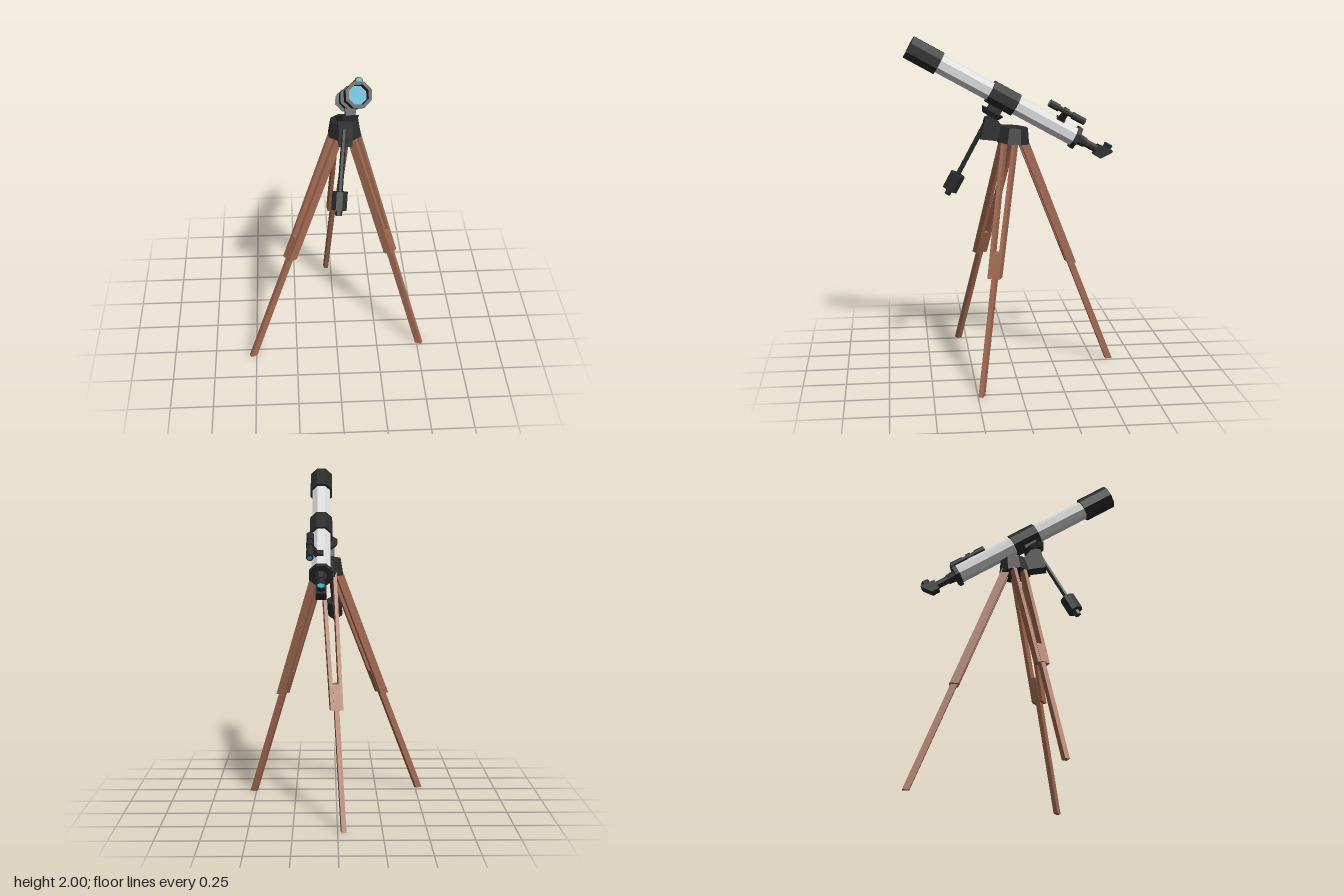
import * as THREE from 'three';

const mat = (name, color) => Object.assign(new THREE.MeshStandardMaterial({ color }), { name });

export function createModel() {
  const wood = mat('wood', 0xa26a52);
  const white = mat('tubeWhite', 0xd9d9d9);
  const black = mat('matteBlack', 0x2b2b2b);
  const glass = mat('lensBlue', 0x35a5c4);
  const model = new THREE.Group();
  model.name = 'tripodTelescope';

  // Faceted mesh with hard edges
  const add = (parent, name, geo, material, x = 0, y = 0, z = 0) => {
    const g = geo.index ? geo.toNonIndexed() : geo;
    g.computeVertexNormals();
    const m = new THREE.Mesh(g, material);
    m.name = name;
    m.position.set(x, y, z);
    parent.add(m);
    return m;
  };
  // Faceted drum along z, from z0 (radius r0) to z1 (radius r1)
  const drum = (z0, z1, r0, r1 = r0, sides = 8) =>
    new THREE.CylinderGeometry(r1, r0, z1 - z0, sides)
      .rotateY(Math.PI / sides).rotateX(Math.PI / 2).translate(0, 0, (z0 + z1) / 2);
  // Plate with a side profile of [z, y] points, extruded across x
  const sidePlate = (points, width) =>
    new THREE.ExtrudeGeometry(new THREE.Shape(points.map(p => new THREE.Vector2(...p))),
      { depth: width, bevelEnabled: false })
      .translate(0, 0, -width / 2).rotateY(-Math.PI / 2);

  // ---- Tripod ----
  const hub = new THREE.Vector3(0.055, 0, 0);
  const legTop = 1.41, topOffset = 0.05;
  const tips = { leftLeg: [0.515, 0.228], rightLeg: [-0.52, 0.3], backLeg: [-0.033, -0.605] };
  for (const [name, [tx, tz]] of Object.entries(tips)) {
    const leg = new THREE.Group();
    leg.name = name;
    leg.position.copy(hub);
    leg.rotation.y = Math.atan2(-(tz - hub.z), tx - hub.x);
    model.add(leg);
    const reach = Math.hypot(tx - hub.x, tz - hub.z);
    const radius = y => topOffset + (reach - topOffset) * (1 - y / legTop);
    // Bar sheared to follow the leg's slope, with level ends
    const bar = (part, y0, y1, depth, width, side0 = 0, side1 = 0) => {
      const g = new THREE.BoxGeometry(depth, y1 - y0, width).translate(0, (y0 + y1) / 2, 0);
      const p = g.attributes.position;
      for (let i = 0; i < p.count; i++) {
        const y = p.getY(i), t = (y - y0) / (y1 - y0);
        p.setX(i, p.getX(i) + radius(y));
        p.setZ(i, p.getZ(i) + side0 + (side1 - side0) * t);
      }
      add(leg, part, g, wood);
    };
    bar('lowerBar', 0, 0.7, 0.04, 0.027);
    bar('slideBlock', 0.645, 0.78, 0.058, 0.034);
    for (const s of [-1, 1]) bar('upperSlat', 0.64, legTop, 0.052, 0.021, s * 0.026, s * 0.034);
  }

  // Hub and tilting head
  const hubMesh = add(model, 'tripodHub',
    new THREE.CylinderGeometry(0.086, 0.102, 0.092, 8).rotateY(Math.PI / 8), black, hub.x, 1.428, 0);
  hubMesh.rotation.x = -0.09;
  add(model, 'headBracket',
    sidePlate([[0.04, 1.39], [0.195, 1.407], [0.165, 1.53], [0.115, 1.545], [0.07, 1.485], [0.04, 1.475]], 0.08),
    black, 0.05);

  // Pan handle with grip
  const handle = new THREE.Group();
  handle.name = 'panHandle';
  handle.position.set(0.045, 1.5, 0.16);
  handle.quaternion.setFromUnitVectors(new THREE.Vector3(0, 0, 1),
    new THREE.Vector3(-0.045, -0.43, 0.225).normalize());
  model.add(handle);
  add(handle, 'handleRod', drum(0, 0.37, 0.015, 0.015, 6), black);
  add(handle, 'handleGrip', drum(0.35, 0.455, 0.047), black);
  add(handle, 'handleTip', drum(0.455, 0.487, 0.02, 0.02, 6), black);

  // ---- Telescope, built along z and tilted up ----
  const scope = new THREE.Group();
  scope.name = 'telescope';
  scope.position.set(0.09, 1.646, 0.063);
  scope.rotation.x = -THREE.MathUtils.degToRad(29);
  model.add(scope);

  // Saddle below the collar
  add(scope, 'saddleDisc', new THREE.CylinderGeometry(0.074, 0.055, 0.03, 8).rotateY(Math.PI / 8),
    black, -0.03, -0.112, 0.012);
  add(scope, 'saddleNeck', new THREE.BoxGeometry(0.06, 0.06, 0.08), black, -0.01, -0.075, 0.01);

  // Main tube, collar and rear flange
  add(scope, 'mainTube', drum(-0.48, 0.43, 0.058), white);
  add(scope, 'collar', drum(-0.085, 0.085, 0.071), black);
  add(scope, 'rearFlange', drum(-0.497, -0.472, 0.072), black);

  // Hollow dew shield with recessed lens
  const hood = [[0.05, 0.418], [0.072, 0.418], [0.072, 0.612], [0.054, 0.612], [0.054, 0.44]]
    .map(p => new THREE.Vector2(...p));
  add(scope, 'dewShield',
    new THREE.LatheGeometry(hood, 8).rotateY(Math.PI / 8).rotateX(Math.PI / 2), black);
  add(scope, 'objectiveLens', drum(0.453, 0.46, 0.053), glass);

  // Focuser, diagonal and eyepiece
  add(scope, 'focuserBase', drum(-0.55, -0.49, 0.03, 0.036), black);
  add(scope, 'focuserTube', drum(-0.635, -0.54, 0.024), black);
  add(scope, 'diagonal',
    sidePlate([[0.041, -0.036], [0.041, 0.028], [-0.052, 0.036], [-0.05, 0.022], [-0.008, -0.038]], 0.06),
    black, 0, 0, -0.665);
  add(scope, 'eyepiece', new THREE.CylinderGeometry(0.028, 0.022, 0.034, 6), black, 0, 0.042, -0.679);
  add(scope, 'eyeLens', new THREE.CylinderGeometry(0.021, 0.021, 0.004, 6), glass, 0, 0.06, -0.679);

  // Finder scope
  const finder = new THREE.Group();
  finder.name = 'finderScope';
  finder.position.set(0.062, 0.107, -0.358);
  scope.add(finder);
  add(finder, 'finderTube', drum(-0.11, 0.1, 0.016), black);
  add(finder, 'finderFront', drum(0.055, 0.117, 0.023), black);
  add(finder, 'finderRear', drum(-0.117, -0.035, 0.022), black);
  add(finder, 'finderRing', drum(-0.005, 0.025, 0.024), black);
  add(finder, 'finderFrontLens', drum(0.116, 0.12, 0.017), glass);
  add(finder, 'finderRearLens', drum(-0.12, -0.116, 0.013), glass);
  const strut = add(finder, 'finderBracket', new THREE.BoxGeometry(0.026, 0.08, 0.036), black, -0.022, -0.032, 0.005);
  strut.rotation.z = -0.6;
  add(finder, 'finderFoot', new THREE.BoxGeometry(0.05, 0.02, 0.05), black, -0.05, -0.053, 0.005);

  return model;
}
